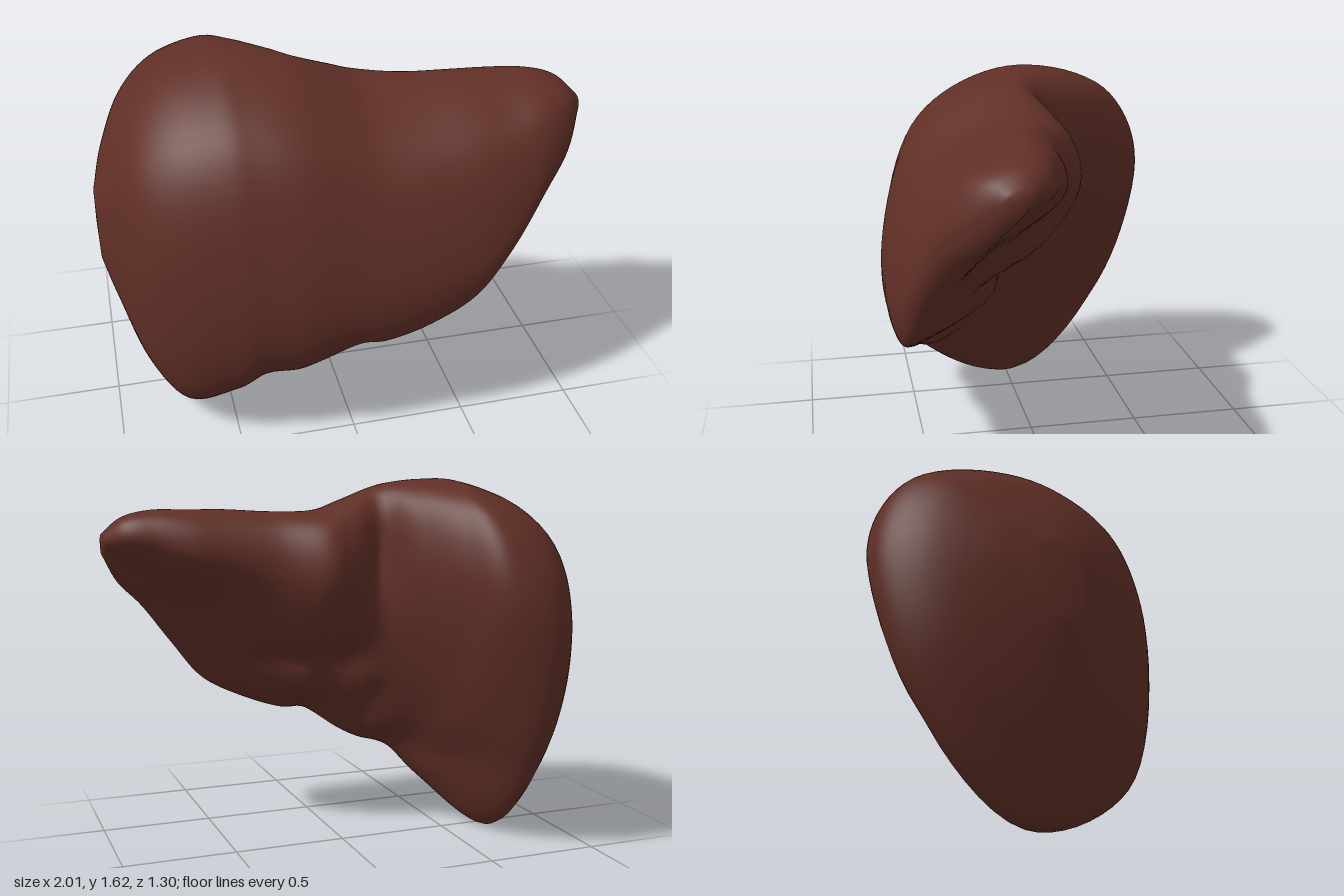
import * as THREE from 'three';

// Cross-sections along x:
// x, top y/z, front y/z, bottom y/z, lower back z, upper back z
const SECTIONS = [
  [-1, 1.05, 0, 0.9, 0.08, 0.74, 0, -0.08, -0.1],
  [-0.95, 1.2, -0.02, 0.9, 0.19, 0.55, 0, -0.22, -0.3],
  [-0.85, 1.4, -0.01, 0.9, 0.41, 0.24, -0.02, -0.42, -0.51],
  [-0.7, 1.54, 0, 0.88, 0.53, 0.01, -0.06, -0.5, -0.64],
  [-0.5, 1.615, 0.02, 0.88, 0.6, 0.18, 0.24, -0.36, -0.61],
  [-0.38, 1.625, 0.02, 0.88, 0.62, 0.32, 0.38, -0.2, -0.46],
  [-0.25, 1.615, 0.02, 0.88, 0.64, 0.36, 0.45, -0.02, -0.26],
  [-0.15, 1.59, 0.03, 0.87, 0.645, 0.41, 0.48, 0.04, -0.13],
  [0, 1.535, 0.03, 0.85, 0.645, 0.51, 0.55, 0.1, -0.16],
  [0.12, 1.495, 0.04, 0.85, 0.645, 0.52, 0.57, 0.1, -0.19],
  [0.3, 1.49, 0.08, 0.85, 0.64, 0.58, 0.58, 0.2, -0.09],
  [0.5, 1.5, 0.13, 0.9, 0.62, 0.69, 0.57, 0.32, -0.04],
  [0.65, 1.5, 0.15, 1.0, 0.58, 0.87, 0.53, 0.3, -0.01],
  [0.8, 1.5, 0.18, 1.2, 0.5, 1.06, 0.44, 0.24, 0.05],
  [0.92, 1.47, 0.2, 1.3, 0.4, 1.18, 0.35, 0.24, 0.1],
  [1, 1.4, 0.23, 1.37, 0.28, 1.31, 0.24, 0.21, 0.19],
];

// Hollows (positive) and swellings (negative) of the back: x, y, x radius, y radius, depth
const HOLLOWS = [
  [-0.14, 1.3, 0.06, 0.2, 0.05],
  [0.16, 0.82, 0.2, 0.06, 0.08],
  [-0.1, 0.82, 0.09, 0.12, 0.08],
  [-0.2, 0.55, 0.07, 0.14, 0.08],
  [-0.45, 0.36, 0.14, 0.08, 0.1],
  [0.05, 0.64, 0.12, 0.09, -0.06],
  [0.5, 1.12, 0.18, 0.15, 0.05],
];

const mix = (a, b, t) => a + (b - a) * t;

// Eight guide points around one section: bottom, front, top, back
function guidePoints([x, yT, zT, yF, zF, yB, zB, zL, zU]) {
  const yL = mix(yB, yT, 0.3), yU = mix(yB, yT, 0.68);
  return [
    [yB, zB],
    [mix(yF, yB, 0.75), mix(zB, zF, 0.78)],
    [yF, zF],
    [mix(yF, yT, 0.71), mix(zT, zF, 0.71)],
    [yT, zT],
    [mix(yU, yT, 0.75), mix(zT, zU, 0.75)],
    [yU, zU],
    [yL, zL],
  ].map(([y, z]) => new THREE.Vector3(x, y, z));
}

function bodyGeometry(rings = 90, sides = 72) {
  // Lengthwise guide curves, one for each guide point
  const sections = SECTIONS.map(guidePoints);
  const guides = sections[0].map((_, k) =>
    new THREE.CatmullRomCurve3(sections.map((s) => s[k]), false, 'catmullrom', 0.5));

  const positions = [], index = [];
  for (let i = 0; i <= rings; i++) {
    const ring = new THREE.CatmullRomCurve3(guides.map((g) => g.getPoint(i / rings)), true, 'centripetal');
    for (let j = 0; j < sides; j++) {
      const p = ring.getPoint(j / sides);
      // Dent only the back half of the ring, fading out at its rims
      const back = Math.max(0, -Math.sin((j / sides) * Math.PI * 2));
      const fade = Math.min(1, back * 1.6);
      for (const [x, y, rx, ry, depth] of HOLLOWS) {
        p.z += fade * depth * Math.exp(-(((p.x - x) / rx) ** 2) - ((p.y - y) / ry) ** 2);
      }
      positions.push(p.x, Math.max(0, p.y), p.z);
    }
  }
  for (let i = 0; i < rings; i++) {
    for (let j = 0; j < sides; j++) {
      const a = i * sides + j, b = i * sides + ((j + 1) % sides);
      index.push(a, a + sides, b, b, a + sides, b + sides);
    }
  }

  // Close both ends with a fan
  for (const end of [0, rings]) {
    const start = end * sides, centre = positions.length / 3;
    let y = 0, z = 0;
    for (let j = 0; j < sides; j++) {
      y += positions[(start + j) * 3 + 1] / sides;
      z += positions[(start + j) * 3 + 2] / sides;
    }
    positions.push(end ? 1.003 : -1.003, y, z);
    for (let j = 0; j < sides; j++) {
      const a = start + j, b = start + ((j + 1) % sides);
      if (end) index.push(centre, b, a);
      else index.push(centre, a, b);
    }
  }

  const geometry = new THREE.BufferGeometry();
  geometry.setAttribute('position', new THREE.Float32BufferAttribute(positions, 3));
  geometry.setIndex(index);
  geometry.computeVertexNormals();
  return geometry;
}

export function createModel() {
  const group = new THREE.Group();
  group.name = 'liver';
  const tissue = new THREE.MeshStandardMaterial({ color: 0x602f26 });
  tissue.name = 'reddish brown tissue';
  const body = new THREE.Mesh(bodyGeometry(), tissue);
  body.name = 'liverLobes';
  group.add(body);
  return group;
}
